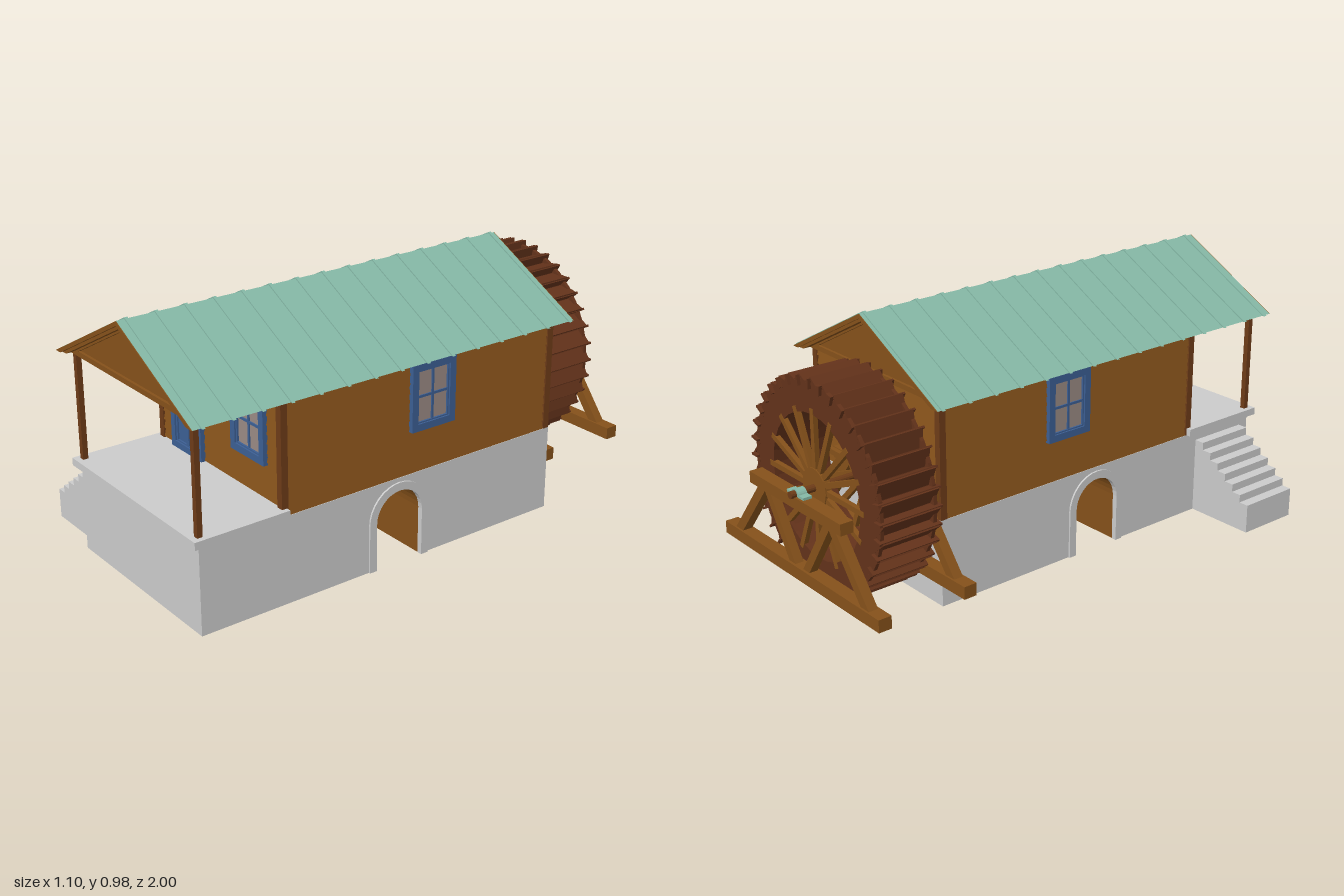
import * as THREE from 'three';

const mat = (color) => new THREE.MeshStandardMaterial({ color, flatShading: true, side: THREE.DoubleSide });
const stone = mat(0xcccccc), wood = mat(0x85511a), darkWood = mat(0x63321a), post = mat(0x6e3c18);
const teal = mat(0x85b8a6), blue = mat(0x3c5f94), glass = mat(0x9a8a84);

// House limits
const X0 = -0.27, X1 = 0.485, CX = 0.1075, ZB = -0.56, ZF = 0.64, FLOOR = 0.325, EAVE = 0.748;

function add(parent, name, geo, material, x = 0, y = 0, z = 0) {
  const m = new THREE.Mesh(geo, material);
  m.name = name;
  m.position.set(x, y, z);
  parent.add(m);
  return m;
}

// Box given by its limits
function block(parent, name, material, x0, x1, y0, y1, z0, z1) {
  return add(parent, name, new THREE.BoxGeometry(x1 - x0, y1 - y0, z1 - z0), material,
    (x0 + x1) / 2, (y0 + y1) / 2, (z0 + z1) / 2);
}

const poly = (pts) => new THREE.Shape(pts.map(([x, y]) => new THREE.Vector2(x, y)));
const extrude = (shape, depth) => new THREE.ExtrudeGeometry(shape, { depth, bevelEnabled: false, curveSegments: 16 });
// Profile drawn in (z, y), extruded from x = xMax towards -x
const sideways = (shape, depth, xMax) => extrude(shape, depth).rotateY(-Math.PI / 2).translate(xMax, 0, 0);

// Straight timber in an XY plane
function beam(parent, name, material, x0, y0, x1, y1, thick, z, depth) {
  const m = add(parent, name, new THREE.BoxGeometry(Math.hypot(x1 - x0, y1 - y0), thick, depth), material,
    (x0 + x1) / 2, (y0 + y1) / 2, z);
  m.rotation.z = Math.atan2(y1 - y0, x1 - x0);
}

// Arch band or opening outline, from one foot over the top to the other
function archPoints(r, c = 0.15, spring = 0.18) {
  const pts = [[c - r, 0]];
  for (let i = 0; i <= 16; i++) {
    const a = Math.PI * (1 - i / 16);
    pts.push([c + r * Math.cos(a), spring + r * Math.sin(a)]);
  }
  pts.push([c + r, 0]);
  return pts;
}
const archBand = (ro, ri) => poly([...archPoints(ro), ...archPoints(ri).reverse()]);

// Stone base with tunnel, porch slab and stairs
function buildBase(g) {
  const profile = poly([[ZB, 0], ...archPoints(0.105), [0.96, 0], [0.96, FLOOR], [ZB, FLOOR]]);
  add(g, 'stoneBase', sideways(profile, X1 - X0, X1), stone);
  add(g, 'tunnelLining', sideways(archBand(0.106, 0.101), X1 - X0 - 0.004, X1 - 0.002), wood);
  for (const x of [X1 + 0.007, X0 + 0.013])
    add(g, 'archSurround', sideways(archBand(0.13, 0.1), 0.02, x), stone);
  block(g, 'porchSlab', stone, -0.289, 0.504, FLOOR, 0.353, ZF - 0.02, 0.985);
  const steps = [[X0, 0], [-0.55, 0]];
  for (let i = 0; i < 7; i++) {
    const y = 0.112 + i * 0.03;
    steps.push([-0.55 + i * 0.04, y], [-0.55 + (i + 1) * 0.04, y]);
  }
  add(g, 'stairs', extrude(poly(steps), 0.245), stone, 0, 0, 0.672);
}

// Lapped boards facing +z, standing on y = 0
function siding(length, height, boards) {
  const pts = [[-0.01, 0]], h = height / boards;
  for (let i = 0; i < boards; i++) pts.push([0.01, i * h], [0.002, (i + 1) * h]);
  pts.push([-0.01, height]);
  return sideways(poly(pts), length, length / 2);
}

// Rectangular frame facing +z
function frame(w, h, border, depth) {
  const s = (a, b) => [[-a, -b], [a, -b], [a, b], [-a, b]];
  const shape = poly(s(w / 2, h / 2));
  shape.holes.push(poly(s(w / 2 - border, h / 2 - border)));
  return extrude(shape, depth);
}

// Four-pane sash centred on the origin
function sash(parent, w, h) {
  add(parent, 'sashFrame', frame(w, h, 0.008, 0.012), blue);
  add(parent, 'glass', new THREE.BoxGeometry(w - 0.012, h - 0.012, 0.004), glass, 0, 0, 0.003);
  add(parent, 'mullion', new THREE.BoxGeometry(0.009, h - 0.01, 0.009), blue, 0, 0, 0.005);
  add(parent, 'crossbar', new THREE.BoxGeometry(w - 0.01, 0.009, 0.009), blue, 0, 0, 0.005);
}

function makeWindow(parent, x, y, z, turn = 0) {
  const w = new THREE.Group();
  w.name = 'window';
  add(w, 'windowFrame', frame(0.192, 0.246, 0.026, 0.018), blue);
  sash(w, 0.144, 0.2);
  w.position.set(x, y, z);
  w.rotation.y = turn;
  parent.add(w);
}

function makeDoor(parent) {
  const d = new THREE.Group();
  d.name = 'door';
  add(d, 'doorFrame', frame(0.192, 0.373, 0.024, 0.018), blue);
  block(d, 'doorLeaf', blue, -0.075, 0.075, -0.168, -0.04, 0, 0.006);
  block(d, 'doorRail', blue, -0.08, 0.08, -0.06, -0.035, 0, 0.014);
  for (const x of [-0.036, 0.036])
    add(d, 'doorPanel', frame(0.072, 0.105, 0.008, 0.012), blue, x, -0.113, 0);
  const top = new THREE.Group();
  top.name = 'doorSash';
  sash(top, 0.144, 0.202);
  top.position.y = 0.063;
  d.add(top);
  d.position.set(-0.075, 0.541, ZF - 0.006);
  parent.add(d);
}

function buildHouse(g) {
  block(g, 'wallCore', wood, X0 + 0.014, X1 - 0.014, FLOOR, 0.755, ZB + 0.014, ZF - 0.014);
  const h = 0.755 - FLOOR, cz = (ZB + ZF) / 2, lx = X1 - X0 - 0.04, lz = ZF - ZB - 0.04;
  const walls = [[lx, CX, ZF - 0.012, 0], [lx, CX, ZB + 0.012, Math.PI],
    [lz, X1 - 0.012, cz, Math.PI / 2], [lz, X0 + 0.012, cz, -Math.PI / 2]];
  for (const [len, x, z, turn] of walls)
    add(g, 'siding', siding(len, h, 13), wood, x, FLOOR, z).rotation.y = turn;
  for (const x of [X0, X1 - 0.026]) {
    for (const z of [ZB, ZF - 0.026]) block(g, 'cornerPost', post, x, x + 0.026, FLOOR, 0.755, z, z + 0.026);
  }
  for (const x of [X0, X1 - 0.02]) block(g, 'porchPost', post, x, x + 0.02, 0.35, 0.76, 0.943, 0.963);
  makeDoor(g);
  makeWindow(g, 0.305, 0.603, ZF - 0.006);
  makeWindow(g, X1 - 0.006, 0.605, 0.008, Math.PI / 2);
  makeWindow(g, X0 + 0.006, 0.605, 0.008, -Math.PI / 2);
}

// Both roof slopes as one bent strip, ending level at the eaves
function chevron(parent, name, material, apex, thick, z0, z1) {
  const slope = 0.524, outer = (apex - EAVE) / slope, inner = (apex - thick - EAVE) / slope;
  const s = poly([[-outer, EAVE], [-inner, EAVE], [0, apex - thick], [inner, EAVE], [outer, EAVE], [0, apex]]);
  add(parent, name, extrude(s, z1 - z0), material, CX, 0, z0);
}

function buildRoof(g) {
  chevron(g, 'roofSheet', teal, 0.974, 0.01, -0.605, 0.997);
  chevron(g, 'roofBoards', wood, 0.965, 0.02, -0.6, 0.99);
  for (let i = 0; i < 15; i++) {
    const z = -0.585 + i * 0.1105;
    chevron(g, 'roofSeam', teal, 0.979, 0.012, z - 0.006, z + 0.006);
  }
  for (const z of [-0.608, 0.985]) chevron(g, 'bargeBoard', wood, 0.973, 0.016, z, z + 0.015);
  const gable = poly([[-0.378, 0.75], [0.378, 0.75], [0, 0.95]]);
  add(g, 'gable', extrude(gable, 0.96 - ZB), wood, CX, 0, ZB);
  for (const z of [ZB - 0.01, 0.955]) {
    chevron(g, 'gableTrim', wood, 0.962, 0.025, z, z + 0.015);
    block(g, 'gableBeam', wood, CX - 0.385, CX + 0.385, 0.748, 0.767, z, z + 0.015);
  }
}

// Water wheel: rims, spokes and slanted paddles about its own z axis
function buildWheel(g) {
  const w = new THREE.Group();
  w.name = 'waterWheel';
  w.position.set(-0.035, 0.467, -0.788);
  const ring = new THREE.Shape().absarc(0, 0, 0.372, 0, Math.PI * 2);
  ring.holes.push(new THREE.Path().absarc(0, 0, 0.26, 0, Math.PI * 2));
  const rim = extrude(ring, 0.014);
  for (const z of [-0.105, 0.105]) {
    add(w, 'rim', rim, darkWood, 0, 0, z - 0.007);
    add(w, 'hub', new THREE.CylinderGeometry(0.07, 0.07, 0.025, 20).rotateX(Math.PI / 2), wood, 0, 0, z);
    for (let i = 0; i < 16; i++) {
      const a = i * Math.PI / 8, c = Math.cos(a), s = Math.sin(a);
      beam(w, 'spoke', wood, 0.05 * c, 0.05 * s, 0.28 * c, 0.28 * s, 0.02, z, 0.018);
    }
  }
  add(w, 'innerDrum', new THREE.CylinderGeometry(0.262, 0.262, 0.2, 36, 1, true).rotateX(Math.PI / 2), darkWood);
  for (let i = 0; i < 36; i++) {
    const a = i * Math.PI / 18, b = a + 0.15;
    beam(w, 'paddle', darkWood, 0.387 * Math.cos(a), 0.387 * Math.sin(a),
      0.348 * Math.cos(b), 0.348 * Math.sin(b), 0.008, 0, 0.225);
    beam(w, 'paddleEdge', darkWood, 0.386 * Math.cos(a), 0.386 * Math.sin(a),
      0.35 * Math.cos(a), 0.35 * Math.sin(a), 0.008, 0, 0.248);
  }
  add(w, 'axle', new THREE.CylinderGeometry(0.013, 0.013, 0.44, 12).rotateX(Math.PI / 2), post, 0, 0, 0.008);
  g.add(w);
}

// Timber trestles carrying the axle on either side of the wheel
function buildTrestle(g, z) {
  const t = new THREE.Group();
  t.name = 'trestle';
  t.position.set(-0.035, 0, z);
  beam(t, 'footBeam', wood, -0.47, 0.177, 0.47, 0.177, 0.046, 0, 0.05);
  beam(t, 'topBeam', wood, -0.275, 0.438, 0.275, 0.438, 0.042, 0, 0.05);
  for (const s of [-1, 1]) {
    beam(t, 'outerBrace', wood, s * 0.4, 0.18, s * 0.2, 0.43, 0.036, 0, 0.036);
    beam(t, 'innerBrace', wood, s * 0.03, 0.18, s * 0.19, 0.43, 0.032, 0, 0.032);
    add(t, 'bearingFoot', new THREE.BoxGeometry(0.03, 0.01, 0.034), teal, s * 0.035, 0.463, 0);
  }
  const cap = new THREE.CylinderGeometry(0.024, 0.024, 0.034, 12, 1, false, -Math.PI / 2, Math.PI);
  add(t, 'bearingCap', cap.rotateX(-Math.PI / 2), teal, 0, 0.46, 0);
  g.add(t);
}

export function createModel() {
  const g = new THREE.Group();
  g.name = 'watermill';
  buildBase(g);
  buildHouse(g);
  buildRoof(g);
  buildWheel(g);
  for (const z of [-0.622, -0.963]) buildTrestle(g, z);
  return g;
}
